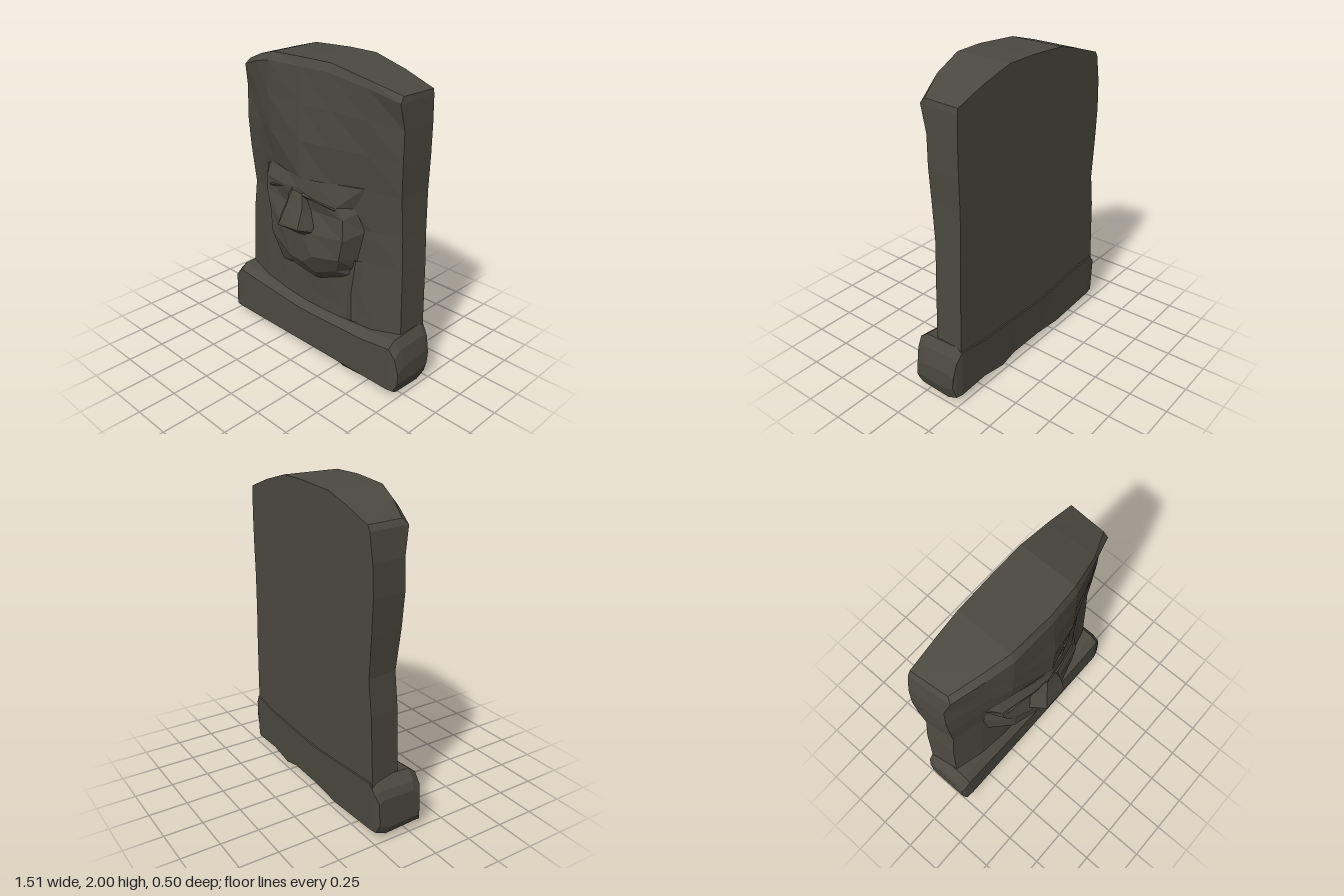
import * as THREE from 'three';

const stone = new THREE.MeshStandardMaterial({ color: 0x4b493f, flatShading: true, side: THREE.DoubleSide });
stone.name = 'dark stone';

// Skins a list of point rows; closed rings also get end caps
function loft(name, rows, closed) {
  const n = rows[0].length, idx = [];
  const quad = (a, b, c, d) => idx.push(a, b, d, b, c, d);
  for (let j = 0; j < rows.length - 1; j++) {
    for (let i = 0; i < (closed ? n : n - 1); i++) {
      const k = (i + 1) % n;
      quad(j * n + i, j * n + k, (j + 1) * n + k, (j + 1) * n + i);
    }
  }
  if (closed) {
    const last = (rows.length - 1) * n;
    for (let i = 0; i < n / 2 - 1; i++) {
      quad(last + i, last + i + 1, last + n - 2 - i, last + n - 1 - i);
      quad(n - 1 - i, n - 2 - i, i + 1, i);
    }
  }
  const g = new THREE.BufferGeometry();
  g.setAttribute('position', new THREE.Float32BufferAttribute(rows.flat(2), 3));
  g.setIndex(idx);
  const flat = g.toNonIndexed();
  flat.computeVertexNormals();
  const mesh = new THREE.Mesh(flat, stone);
  mesh.name = name;
  return mesh;
}

// Upright slab with a shallow bulging front and an arched top
function makeSlab() {
  const cols = [-0.96, -0.66, -0.4, 0.05, 0.36, 0.7, 0.98];
  const arch = [1.87, 1.94, 1.985, 2, 2, 1.94, 1.87];
  // height, left edge, right edge, front depth at each column
  const levels = [
    [0.25, -0.71, 0.70, [-0.04, 0.02, 0.03, 0.03, 0.03, 0.01, -0.04]],
    [0.42, -0.70, 0.69, [-0.04, 0.01, 0.03, 0.035, 0.03, 0.01, -0.04]],
    [0.80, -0.68, 0.68, [-0.04, 0.01, 0.04, 0.06, 0.04, 0.00, -0.04]],
    [1.02, -0.65, 0.67, [-0.04, 0.01, 0.05, 0.08, 0.05, 0.01, -0.04]],
    [1.29, -0.67, 0.665, [-0.02, 0.04, 0.10, 0.18, 0.12, 0.03, -0.02]],
    [1.52, -0.68, 0.67, [-0.01, 0.06, 0.14, 0.185, 0.15, 0.06, -0.01]],
    [1.74, -0.67, 0.67, [-0.01, 0.08, 0.15, 0.175, 0.15, 0.08, -0.01]],
    [1.95, -0.64, 0.665, [0.03, 0.10, 0.15, 0.16, 0.15, 0.09, 0.03]],
    [2.00, -0.62, 0.66, [0.00, 0.07, 0.12, 0.14, 0.13, 0.08, 0.00]],
  ];
  const rows = levels.map(([y, l, r, depth]) => {
    const place = (i, f, z) => [f * (f < 0 ? -l : r), y - (2 - arch[i]) * (y / 2) ** 5, z];
    const front = cols.map((f, i) => place(i, f, depth[i]));
    const back = cols.map((f, i) => place(i, i === 0 ? -1 : i === 6 ? 1 : f, -0.24)).reverse();
    return [...front, ...back];
  });
  return loft('slab', rows, true);
}

// Wide worn plinth
function makePlinth() {
  // x, top height, bottom height, shrink of the section
  const stations = [
    [-0.755, 0.29, 0.09, 0.02], [-0.735, 0.34, 0.04, 0.005], [-0.68, 0.40, 0.035, 0],
    [-0.3, 0.365, 0.01, 0], [-0.08, 0.345, 0.03, 0], [0.18, 0.35, 0.03, 0],
    [0.3, 0.355, 0.0, 0], [0.48, 0.36, 0.03, 0], [0.69, 0.39, 0.02, 0],
    [0.73, 0.33, 0.02, 0.01], [0.755, 0.22, 0.10, 0.02],
  ];
  const rows = stations.map(([x, top, low, s]) => [
    [x, top - 0.01, 0.035 - s], [x, top - 0.05, 0.085 - s],
    [x, Math.max(low, 0.05), 0.09 - s], [x, low + 0.01, 0.06 - s],
    [x, low, -0.17 + s], [x, low + 0.03, -0.24 + s],
    [x, top - 0.02, -0.247 + s], [x, top, -0.21 + s],
  ]);
  return loft('plinth', rows, true);
}

// Faceted face mask, rows from chin up to brow
function makeFace() {
  return loft('face', [
    [[-0.30, 0.66, 0.02], [-0.22, 0.60, 0.03], [-0.12, 0.58, 0.03], [0.07, 0.56, 0.03], [0.13, 0.58, 0.03], [0.24, 0.63, 0.03], [0.33, 0.67, 0.01]],
    [[-0.35, 0.74, 0.02], [-0.22, 0.62, 0.09], [-0.10, 0.66, 0.13], [0.06, 0.59, 0.08], [0.10, 0.65, 0.12], [0.25, 0.70, 0.09], [0.34, 0.72, 0.01]],
    [[-0.39, 0.80, 0.02], [-0.27, 0.82, 0.14], [-0.07, 0.73, 0.17], [0.04, 0.72, 0.17], [0.13, 0.79, 0.18], [0.31, 0.81, 0.13], [0.37, 0.80, 0.01]],
    [[-0.42, 1.03, 0.02], [-0.28, 0.97, 0.14], [-0.14, 0.93, 0.18], [0.05, 0.93, 0.19], [0.14, 0.94, 0.17], [0.34, 0.95, 0.13], [0.42, 1.00, 0.01]],
    [[-0.39, 1.15, 0.03], [-0.33, 1.08, 0.12], [-0.15, 1.08, 0.14], [0.0, 1.10, 0.17], [0.13, 1.08, 0.14], [0.33, 1.08, 0.12], [0.41, 1.15, 0.02]],
    [[-0.42, 1.24, 0.03], [-0.34, 1.18, 0.11], [-0.12, 1.20, 0.17], [0.02, 1.22, 0.185], [0.12, 1.18, 0.17], [0.28, 1.15, 0.13], [0.43, 1.29, 0.05]],
    [[-0.42, 1.25, 0.01], [-0.34, 1.27, 0.07], [-0.12, 1.28, 0.14], [0.04, 1.29, 0.18], [0.14, 1.29, 0.16], [0.28, 1.29, 0.11], [0.43, 1.30, 0.02]],
  ], false);
}

// Broad wedge nose, rows from base up to bridge
function makeNose() {
  return loft('nose', [
    [[-0.17, 0.95, 0.14], [-0.10, 0.91, 0.17], [0.07, 0.91, 0.17], [0.14, 0.94, 0.14]],
    [[-0.17, 0.98, 0.15], [-0.09, 0.96, 0.25], [0.08, 0.975, 0.25], [0.14, 0.97, 0.15]],
    [[-0.12, 1.10, 0.13], [-0.05, 1.10, 0.215], [0.08, 1.10, 0.21], [0.10, 1.08, 0.13]],
    [[-0.09, 1.21, 0.13], [-0.02, 1.20, 0.19], [0.06, 1.19, 0.185], [0.09, 1.17, 0.13]],
  ], false);
}

// Narrow heavy eyelid ridge between two points
function makeLid(name, a, b) {
  const ring = ([x, y, z], s) => [[x, y + s, z - 0.03], [x, y - s * 0.2, z + s * 0.6], [x, y - s, z], [x, y - s, z - 0.03]];
  return loft(name, [ring(a, 0.02), ring(b, 0.01)], true);
}

export function createModel() {
  const model = new THREE.Group();
  model.name = 'carvedStone';
  model.add(
    makeSlab(), makePlinth(), makeFace(), makeNose(),
    makeLid('rightEyelid', [-0.30, 1.14, 0.115], [-0.10, 1.19, 0.165]),
    makeLid('leftEyelid', [0.06, 1.19, 0.18], [0.28, 1.14, 0.135]),
    // Worn ridge running from the cheek down to the plinth
    loft('neckRidge', [
      [[0.26, 0.36, 0.02], [0.35, 0.37, 0.05], [0.40, 0.36, 0.01]],
      [[0.28, 0.55, 0.02], [0.34, 0.56, 0.045], [0.42, 0.55, 0.0]],
      [[0.32, 0.80, 0.02], [0.37, 0.80, 0.04], [0.43, 0.80, 0.0]],
    ], false),
  );
  return model;
}
